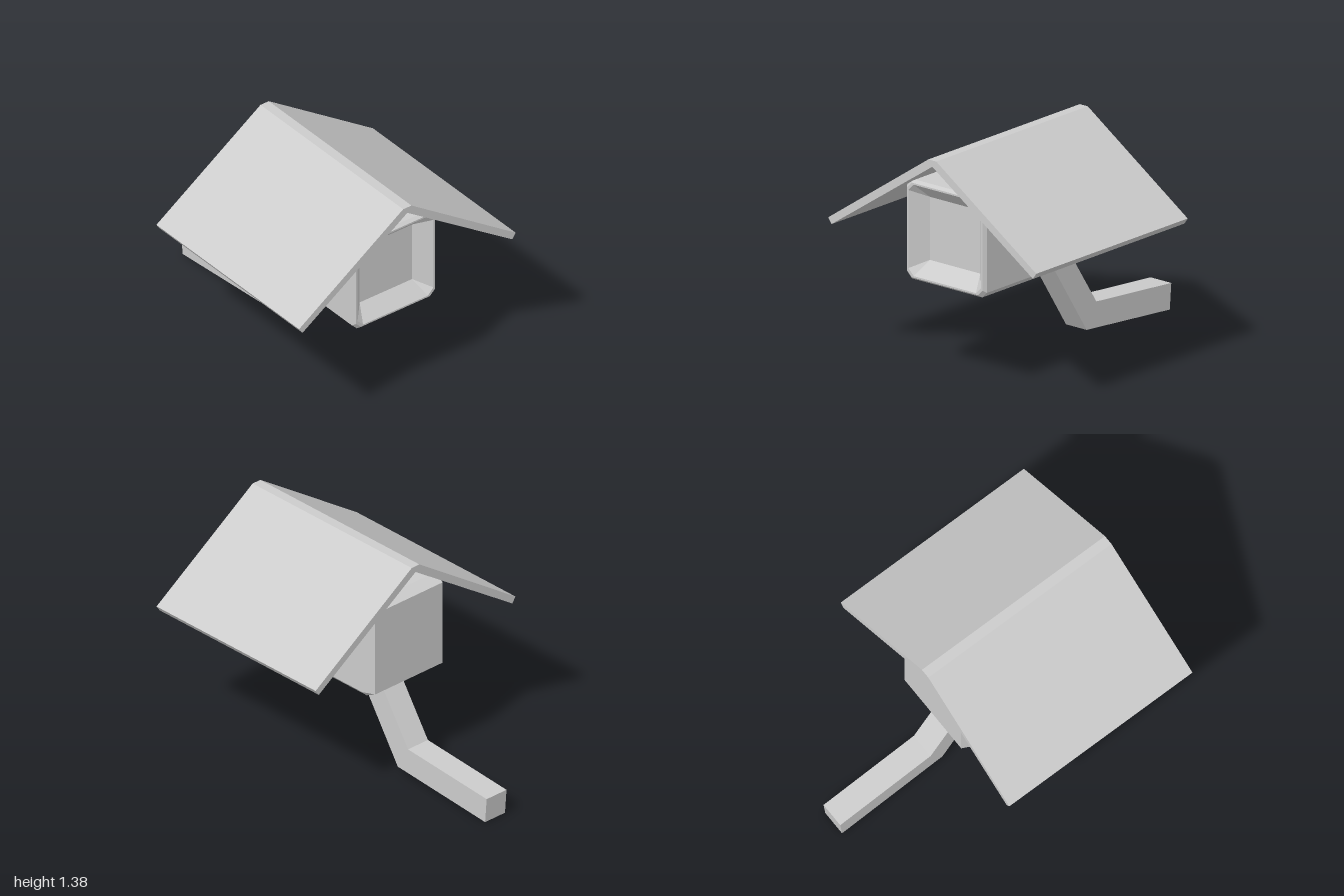
import * as THREE from 'three';

const material = new THREE.MeshStandardMaterial({ color: 0xcccccc, flatShading: true });

// Square outline of half-size h with corners cut by c, counter-clockwise seen from +z
function outline(h, c, z, cy) {
  const k = h - c;
  return [[h, -k], [h, k], [k, h], [-k, h], [-h, k], [-h, -k], [-k, -h], [k, -h]]
    .map(([x, y]) => new THREE.Vector3(x, y + cy, z));
}

// Skin a series of outlines and close both ends
function loft(rings) {
  const points = [];
  const triangle = (a, b, c) => {
    if (a.distanceTo(b) > 1e-5 && b.distanceTo(c) > 1e-5 && c.distanceTo(a) > 1e-5) points.push(a, b, c);
  };
  const n = rings[0].length;
  for (let j = 0; j < rings.length - 1; j++) {
    for (let i = 0; i < n; i++) {
      const k = (i + 1) % n;
      triangle(rings[j][i], rings[j][k], rings[j + 1][k]);
      triangle(rings[j][i], rings[j + 1][k], rings[j + 1][i]);
    }
  }
  const first = rings[0], last = rings[rings.length - 1];
  for (let i = 1; i < n - 1; i++) {
    triangle(first[0], first[i + 1], first[i]);
    triangle(last[0], last[i], last[i + 1]);
  }
  const geometry = new THREE.BufferGeometry().setFromPoints(points);
  geometry.computeVertexNormals();
  return geometry;
}

function extrude(points, depth) {
  const shape = new THREE.Shape(points.map(([x, y]) => new THREE.Vector2(x, y)));
  return new THREE.ExtrudeGeometry(shape, { depth, bevelEnabled: false });
}

export function createModel() {
  const group = new THREE.Group();
  const add = (name, geometry) => {
    const mesh = new THREE.Mesh(geometry, material);
    mesh.name = name;
    group.add(mesh);
  };

  // Bevelled housing with a sloped recess in the front: half-size, corner cut, z
  const sections = [
    [0.265, 0, -0.27], [0.3, 0.035, -0.2], [0.3, 0.035, 0.87],
    [0.285, 0.035, 0.89], [0.275, 0.04, 0.89], [0.19, 0, 0.8],
  ];
  add('housing', loft(sections.map(([h, c, z]) => outline(h, c, z, 0.88))));

  // Gabled roof with a flattened ridge
  const roof = extrude([
    [-0.03, 1.38], [-0.785, 0.868], [-0.76, 0.832], [0, 1.342],
    [0.76, 0.832], [0.785, 0.868], [0.03, 1.38],
  ], 1.325);
  roof.translate(0, 0, -0.325);
  add('roof', roof);

  // Bent mounting arm, drawn from the side as (z, y)
  const arm = extrude([
    [0.145, 0.68], [-0.034, 0.68], [-0.345, 0.21], [-1, 0.157], [-0.987, 0], [-0.26, 0.06],
  ], 0.156);
  arm.translate(0, 0, -0.078).rotateY(-Math.PI / 2);
  add('mountingArm', arm);

  return group;
}
